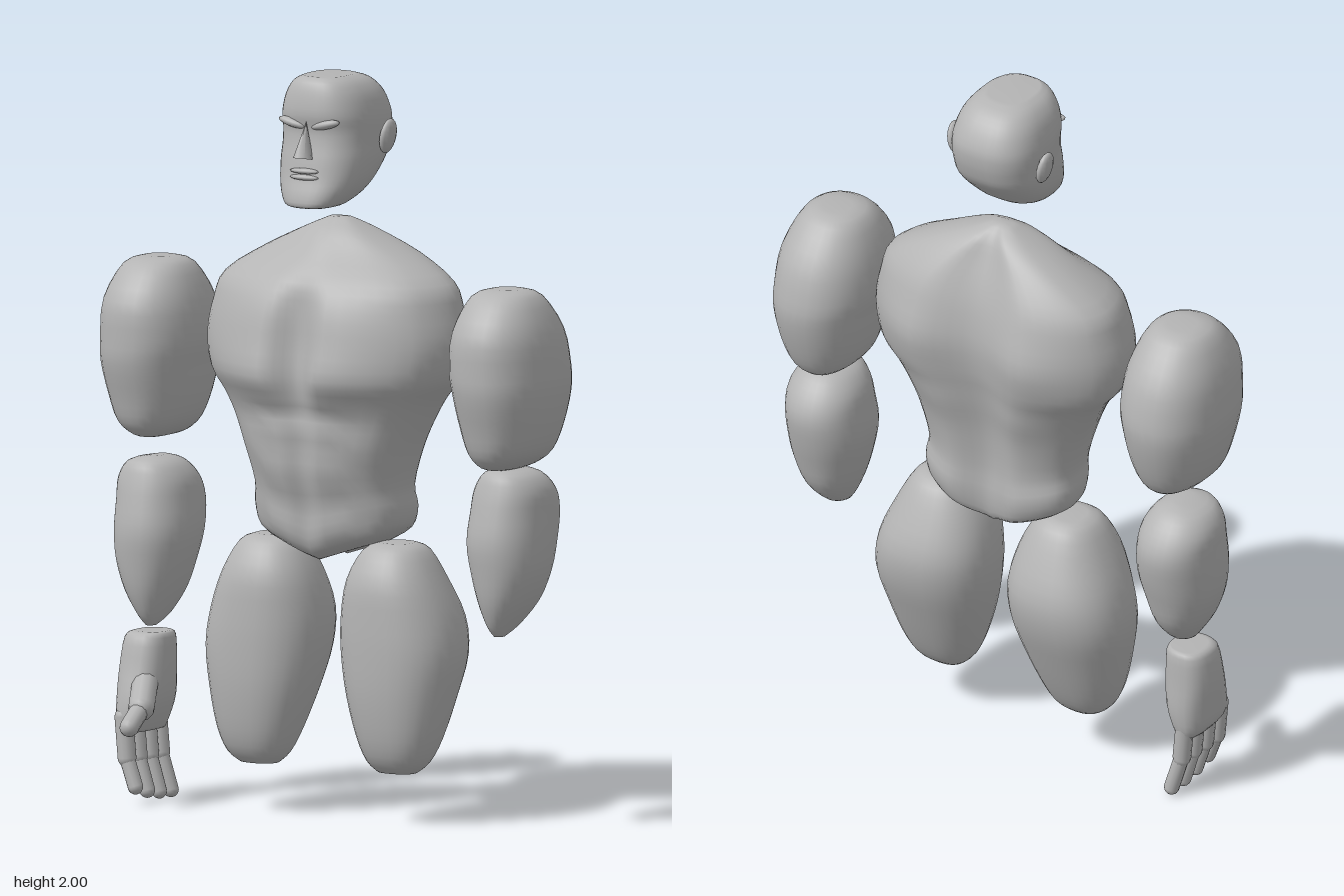
import * as THREE from 'three';

const skin = new THREE.MeshStandardMaterial({ color: 0xb4b4b4 });
skin.name = 'grey skin';

// Smoothly resample rows of section values, top to bottom
function resample(rows, steps) {
  const out = [], n = rows.length - 1;
  for (let s = 0; s <= n * steps; s++) {
    const i = Math.min(Math.floor(s / steps), n - 1), t = s / steps - i;
    const [a, b, c, d] = [i - 1, i, i + 1, i + 2].map(k => rows[Math.max(0, Math.min(n, k))]);
    out.push(b.map((v, k) => v + 0.5 * t * (c[k] - a[k] + t * (2 * a[k] - 5 * v + 4 * c[k] - d[k]
      + t * (3 * (v - c[k]) + d[k] - a[k])))));
  }
  return out;
}

// Closed surface through rings of points, ordered top to bottom
function skinRings(rings) {
  const n = rings[0].length, pos = [], idx = [], last = (rings.length - 1) * n;
  rings.forEach(r => r.forEach(p => pos.push(p.x, p.y, p.z)));
  for (const r of [rings[0], rings[rings.length - 1]]) {
    const c = r.reduce((s, p) => s.add(p), new THREE.Vector3()).divideScalar(n);
    pos.push(c.x, c.y, c.z);
  }
  const top = rings.length * n, bottom = top + 1;
  for (let j = 0; j < n; j++) {
    const k = (j + 1) % n;
    idx.push(top, k, j, bottom, last + j, last + k);
    for (let o = 0; o < last; o += n) idx.push(o + j, o + k, o + n + j, o + k, o + n + k, o + n + j);
  }
  const g = new THREE.BufferGeometry();
  g.setAttribute('position', new THREE.Float32BufferAttribute(pos, 3));
  g.setIndex(idx);
  g.computeVertexNormals();
  return g;
}

// Rounded muscle or head form; rows are [y, xMin, xMax, zFront, zBack]
function form(rows, power = 2.2, n = 32) {
  return skinRings(resample(rows, 3).map(([y, x0, x1, zf, zb]) => Array.from({ length: n }, (_, j) => {
    const a = j / n * Math.PI * 2, c = Math.cos(a), s = Math.sin(a);
    const round = v => Math.sign(v) * Math.abs(v) ** (2 / power);
    return new THREE.Vector3((x0 + x1) / 2 + (x1 - x0) / 2 * round(c), y, (zf + zb) / 2 + (zf - zb) / 2 * round(s));
  })));
}

const mirrorRows = (rows, dx, dy) => rows.map(([y, a, b, f, k]) => [y + dy, dx - b, dx - a, f, k]);

function add(parent, name, geometry, x = 0, y = 0, z = 0) {
  const m = new THREE.Mesh(geometry, skin);
  m.name = name;
  m.position.set(x, y, z);
  parent.add(m);
  return m;
}

// Rounded rod between two points
function rod(parent, name, a, b, r) {
  const p = new THREE.Vector3(...a), q = new THREE.Vector3(...b), d = q.clone().sub(p);
  const m = add(parent, name, new THREE.CapsuleGeometry(r, d.length(), 5, 12));
  m.position.copy(p).add(q).multiplyScalar(0.5);
  m.quaternion.setFromUnitVectors(new THREE.Vector3(0, 1, 0), d.normalize());
}

function torso() {
  // y, half width, then depth at: sternum, chest, front corner, side, back corner, shoulder blade, spine
  const rows = [
    [1.61, .03, -.03, -.03, -.035, -.05, -.06, -.065, -.065],
    [1.58, .10, .02, .02, 0, -.05, -.09, -.11, -.10],
    [1.52, .23, .08, .07, .02, -.06, -.12, -.155, -.13],
    [1.45, .34, .14, .14, .07, -.05, -.13, -.195, -.16],
    [1.38, .368, .15, .178, .09, -.04, -.14, -.22, -.18],
    [1.29, .385, .155, .20, .10, -.04, -.14, -.242, -.19],
    [1.20, .365, .165, .218, .11, -.04, -.14, -.225, -.18],
    [1.14, .32, .16, .19, .105, -.04, -.13, -.205, -.165],
    [1.08, .285, .148, .162, .10, -.04, -.12, -.19, -.15],
    [1.00, .25, .15, .165, .10, -.03, -.11, -.165, -.13],
    [.90, .225, .125, .138, .08, -.03, -.10, -.15, -.115],
    [.84, .23, .11, .12, .07, -.03, -.11, -.158, -.12],
    [.785, .215, .095, .10, .06, -.03, -.10, -.14, -.11],
    [.765, .15, .06, .065, .04, -.03, -.07, -.10, -.08],
  ];
  const across = [0, .26, .84, 1, .9, .46, 0];
  return skinRings(resample(rows, 3).map(([y, w, ...depth]) => {
    const side = s => across.map((f, i) => new THREE.Vector3(s * f * w, y, depth[i]));
    const loop = [...side(-1), ...side(1).slice(1, 6).reverse()];
    const curve = new THREE.CatmullRomCurve3(loop, true, 'centripetal');
    return Array.from({ length: 60 }, (_, j) => {
      const p = curve.getPoint(j / 60);
      // Abdominal bands and the pointed lower edge
      if (y < 1.12 && p.z > .05 && Math.abs(p.x) < .13) p.z += .006 * Math.cos((y - .82) * 52);
      const low = THREE.MathUtils.smoothstep(.98 - y, 0, .2);
      p.y -= .07 * low * Math.max(0, 1 - Math.abs(p.x) / .21);
      return p;
    });
  }));
}

function head() {
  const g = new THREE.Group();
  g.name = 'head';
  const rows = [[2, .06, .08, -.07], [1.985, .09, .10, -.115], [1.95, .115, .113, -.153], [1.9, .128, .12, -.178],
    [1.86, .13, .112, -.18], [1.82, .128, .116, -.172], [1.78, .127, .125, -.155], [1.73, .118, .135, -.11],
    [1.69, .10, .148, -.065], [1.66, .075, .152, 0], [1.652, .05, .14, .03]];
  add(g, 'skull', form(rows.map(([y, w, f, b]) => [y, -w, w, f, b]), 2.6, 40));
  // Nose
  const nose = new THREE.ConeGeometry(.032, .1, 8);
  nose.scale(.8, 1, 1);
  add(g, 'nose', nose, 0, 1.835, .128).rotation.x = -.15;
  // Mouth
  for (const y of [1.735, 1.752]) {
    const lip = new THREE.SphereGeometry(1, 14, 8);
    lip.scale(.045, .008, .016);
    add(g, 'lip', lip, 0, y, .13);
  }
  for (const s of [-1, 1]) {
    const brow = new THREE.SphereGeometry(1, 14, 8);
    brow.scale(.045, .012, .018);
    add(g, 'brow', brow, s * .052, 1.877, .106).rotation.z = s * .22;
    const ear = new THREE.SphereGeometry(1, 12, 10);
    ear.scale(.016, .048, .034);
    add(g, 'ear', ear, s * .142, 1.835, -.062).rotation.z = -s * .18;
  }
  return g;
}

function hand() {
  const g = new THREE.Group();
  g.name = 'rightHand';
  add(g, 'palm', form([[.455, -.61, -.52, .05, -.05], [.44, -.632, -.508, .075, -.065], [.36, -.64, -.505, .095, -.07],
    [.28, -.635, -.51, .118, -.075], [.22, -.628, -.53, .125, -.07], [.19, -.61, -.545, .115, -.06]], 2.5, 24));
  // Fingers, each with a slight bend
  [.102, .053, .003, -.045].forEach((z, i) => {
    const tip = [.045, .03, .022, .02][i], x = -.592 + i * .004;
    rod(g, 'finger', [x, .23, z], [x + .012, .12, z + .003], .025);
    rod(g, 'fingertip', [x + .012, .12, z + .003], [x + .04, tip, z + .005 - i * .003], .021);
  });
  rod(g, 'thumbBase', [-.55, .33, .06], [-.515, .265, .135], .036);
  rod(g, 'thumb', [-.515, .265, .135], [-.502, .222, .215], .026);
  return g;
}

export function createModel() {
  const model = new THREE.Group();
  model.name = 'figure';
  model.add(head(), hand());
  add(model, 'torso', torso());

  // Limb sections on the left side; the right ones are mirrored
  const upperArm = [[1.46, .51, .59, .02, -.06], [1.44, .46, .64, .085, -.115], [1.35, .422, .682, .155, -.19],
    [1.25, .412, .692, .165, -.22], [1.18, .423, .69, .162, -.222], [1.09, .44, .672, .138, -.20],
    [1.02, .465, .645, .118, -.17], [.985, .50, .60, .085, -.13], [.975, .53, .57, .04, -.08]];
  const forearm = [[.98, .535, .57, .01, -.06], [.965, .49, .63, .055, -.11], [.92, .458, .662, .075, -.155],
    [.86, .449, .665, .09, -.18], [.78, .445, .664, .104, -.17], [.70, .46, .655, .098, -.148],
    [.62, .485, .625, .085, -.12], [.555, .515, .583, .06, -.06], [.526, .535, .56, .035, 0]];
  const thigh = [[.75, .16, .25, .03, -.06], [.73, .115, .29, .075, -.10], [.65, .072, .335, .118, -.145],
    [.55, .05, .375, .128, -.183], [.45, .052, .39, .131, -.175], [.34, .075, .372, .128, -.135],
    [.23, .11, .345, .113, -.088], [.165, .14, .315, .09, -.052], [.135, .17, .28, .06, -.02]];
  for (const [name, rows, dx, dy, power] of [['UpperArm', upperArm, -.005, .005, 2.25],
    ['Forearm', forearm, -.012, -.055, 2.2], ['Thigh', thigh, .012, -.005, 2.3]]) {
    add(model, 'left' + name, form(rows, power));
    add(model, 'right' + name, form(mirrorRows(rows, dx, dy), power));
  }
  return model;
}
